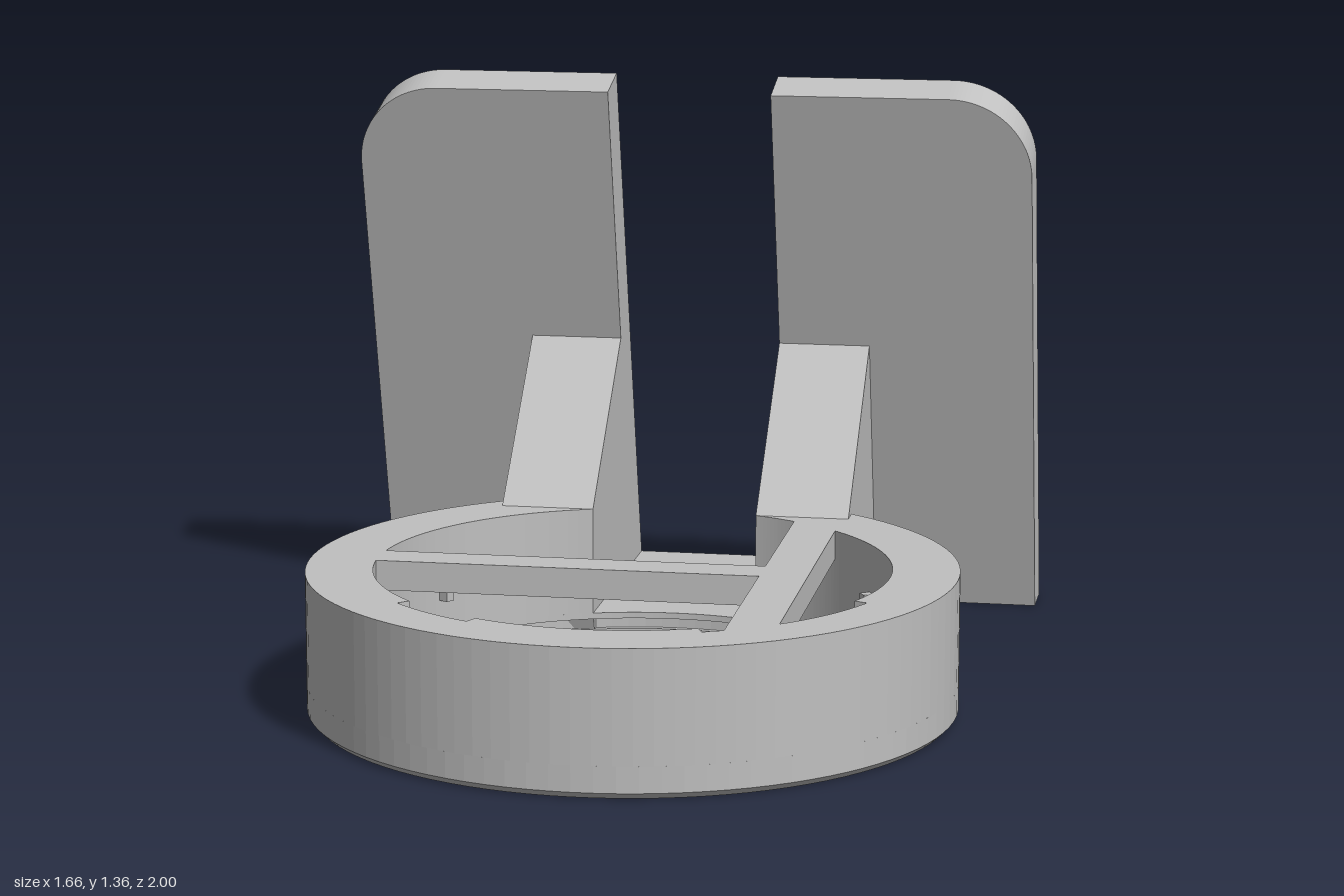
import * as THREE from 'three';

const RING_Z = 0.25, OUTER = 0.75, INNER = 0.595, GROOVE = 0.627, LIP = 0.612;
const TOP = 0.335, FLOOR = 0.075, SLOT = 0.2;
const rad = THREE.MathUtils.degToRad;

export function createModel() {
  const model = new THREE.Group();
  const grey = new THREE.MeshStandardMaterial({ color: 0xc0c0c0 });
  grey.name = 'grey plastic';

  const add = (name, geometry, x = 0, y = 0, z = 0) => {
    const mesh = new THREE.Mesh(geometry, grey);
    mesh.name = name;
    mesh.position.set(x, y, z);
    model.add(mesh);
    return mesh;
  };
  const box = (name, x0, x1, y0, y1, z0, z1) => add(name,
    new THREE.BoxGeometry(x1 - x0, y1 - y0, z1 - z0), (x0 + x1) / 2, (y0 + y1) / 2, (z0 + z1) / 2);
  // Plan outline extruded upwards, from y0 to y1
  const layer = (name, shape, y0, y1) => add(name,
    new THREE.ExtrudeGeometry(shape, { depth: y1 - y0, bevelEnabled: false, curveSegments: 48 })
      .rotateX(-Math.PI / 2), 0, y0, RING_Z);

  // Inner wall, clockwise, with the two locking notches
  const notchedWall = (path, start, end) => {
    const stops = [start, 336, 294, 245, 224, end];
    for (let i = 0; i < 5; i++) {
      path.absarc(0, 0, i % 2 ? GROOVE : INNER, rad(stops[i]), rad(stops[i + 1]), true);
    }
    return path;
  };
  const fullRing = (hole) => {
    const shape = new THREE.Shape().absarc(0, 0, OUTER, 0, Math.PI * 2);
    shape.holes.push(hole);
    return shape;
  };

  // Bottom lip with a chamfered outer edge
  const lip = new THREE.LatheGeometry([
    [LIP, 0.03], [LIP, 0], [OUTER - 0.015, 0], [OUTER, 0.015], [OUTER, 0.03], [LIP, 0.03],
  ].map(([x, y]) => new THREE.Vector2(x, y)), 96).toNonIndexed();
  lip.computeVertexNormals();
  add('ringLip', lip, 0, 0, RING_Z);

  // Groove, closed wall below the slot floor, and slotted wall above it
  layer('ringGroove', fullRing(new THREE.Path().absarc(0, 0, GROOVE, 0, Math.PI * 2, true)), 0.03, 0.06);
  layer('ringLowerWall', fullRing(notchedWall(new THREE.Path(), 450, 90)), 0.06, FLOOR);
  const ao = THREE.MathUtils.radToDeg(Math.asin(SLOT / OUTER));
  const ai = THREE.MathUtils.radToDeg(Math.asin(SLOT / INNER));
  const cRing = new THREE.Shape().absarc(0, 0, OUTER, rad(90 + ao), rad(450 - ao));
  layer('ringWall', notchedWall(cRing, 450 - ai, 90 + ai), FLOOR, TOP);

  // Small locating nubs on the inner wall
  for (const a of [-90, 30, 150]) {
    const nub = add('nub', new THREE.BoxGeometry(0.04, 0.06, 0.025),
      0.59 * Math.cos(rad(a)), 0.19, RING_Z - 0.59 * Math.sin(rad(a)));
    nub.rotation.y = rad(a);
  }

  // Bars across the ring opening
  box('crossBar', -0.61, 0.31, TOP - 0.07, TOP, 0.2, 0.3);
  box('lengthBar', 0.3, 0.41, TOP - 0.07, TOP, -0.28, 0.82);

  // Slot floor linking ring and back plate
  box('slotFloor', -SLOT, SLOT, 0, FLOOR, -0.9, -0.4);

  // Sloped gussets either side of the slot
  const gusset = new THREE.Shape([[0.335, 0], [0.9, 0], [0.7, 0.69], [0.688, 0.69], [0.31, TOP], [0.31, FLOOR]]
    .map(([a, y]) => new THREE.Vector2(a, y)));
  for (const x of [SLOT, -0.425]) {
    add('gusset', new THREE.ExtrudeGeometry(gusset, { depth: 0.225, bevelEnabled: false })
      .rotateY(Math.PI / 2), x);
  }

  // Leaning back plate: U outline with rounded outer corners
  const tilt = rad(15), w = 0.83, r = 0.2, h = 1.36 / Math.cos(tilt), s0 = FLOOR / Math.cos(tilt);
  const plate = new THREE.Shape();
  plate.moveTo(-w, 0);
  plate.lineTo(w, 0);
  plate.absarc(w - r, h - r, r, 0, Math.PI / 2);
  plate.lineTo(SLOT, h);
  plate.lineTo(SLOT, s0);
  plate.lineTo(-SLOT, s0);
  plate.lineTo(-SLOT, h);
  plate.absarc(r - w, h - r, r, Math.PI / 2, Math.PI);
  const plateGeo = new THREE.ExtrudeGeometry(plate, { depth: 0.124, bevelEnabled: false, curveSegments: 16 });
  // Skew the foot and slot floor so they lie level once the plate leans
  const p = plateGeo.attributes.position;
  for (let i = 0; i < p.count; i++) {
    if (p.getY(i) < 0.2) p.setY(i, p.getY(i) + p.getZ(i) * Math.tan(tilt));
  }
  plateGeo.rotateX(tilt);
  plateGeo.computeVertexNormals();
  add('backPlate', plateGeo, 0, 0, -1);

  return model;
}
